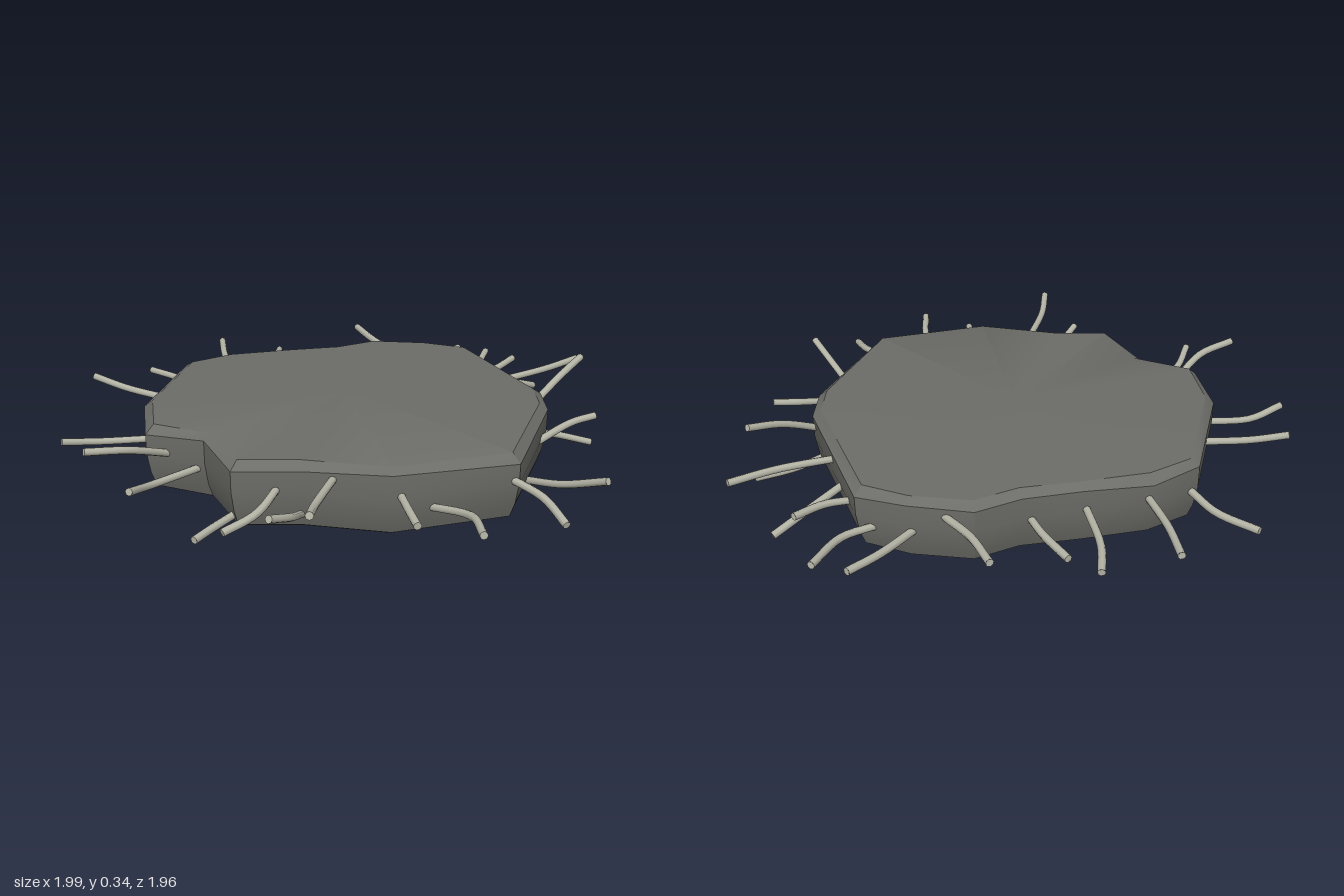
import * as THREE from 'three';
import { mergeGeometries, toCreasedNormals } from 'three/addons/utils/BufferGeometryUtils.js';

// Broken edge of the slab seen from above: [x, z]
const OUTLINE = [
  [0.02, -0.7], [0.25, -0.715], [0.44, -0.68], [0.75, -0.22], [0.78, -0.06],
  [0.695, 0.43], [0.29, 0.63], [-0.02, 0.625], [-0.25, 0.665], [-0.4, 0.46],
  [-0.63, 0.41], [-0.715, 0.17], [-0.69, -0.29], [-0.545, -0.42], [-0.315, -0.52], [-0.12, -0.595],
];

// Side profile from bottom to top: [inset, y]
const PROFILE = [[0.07, 0.012], [0.03, 0.035], [0.012, 0.09], [0, 0.17], [0, 0.25], [0.032, 0.276]];

// Reinforcing bars, each root, middle, tip: x, y, z
const BARS = [
  [-0.67, 0.16, -0.31, -0.76, 0.15, -0.405, -0.91, 0.15, -0.485],
  [-0.53, 0.19, -0.425, -0.61, 0.2, -0.59, -0.665, 0.21, -0.75],
  [-0.33, 0.18, -0.52, -0.4, 0.17, -0.69, -0.42, 0.16, -0.82],
  [-0.145, 0.16, -0.575, -0.2, 0.16, -0.655, -0.305, 0.16, -0.77],
  [0.11, 0.22, -0.71, 0.005, 0.235, -0.815, -0.085, 0.245, -0.945],
  [0.235, 0.15, -0.71, 0.3, 0.155, -0.85, 0.375, 0.165, -0.975],
  [0.38, 0.13, -0.68, 0.46, 0.14, -0.77, 0.5, 0.16, -0.96],
  [0.485, 0.17, -0.6, 0.555, 0.185, -0.66, 0.625, 0.2, -0.77],
  [0.54, 0.165, -0.5, 0.62, 0.14, -0.63, 0.72, 0.09, -0.745],
  [0.575, 0.22, -0.42, 0.76, 0.235, -0.555, 0.89, 0.245, -0.685],
  [0.715, 0.2, -0.21, 0.82, 0.285, -0.34, 0.9, 0.33, -0.46],
  [0.715, 0.085, -0.22, 0.81, 0.06, -0.285, 0.96, 0.02, -0.325],
  [0.75, 0.17, 0.055, 0.87, 0.21, -0.055, 0.955, 0.225, -0.1],
  [0.725, 0.09, 0.225, 0.84, 0.135, 0.335, 0.985, 0.215, 0.455],
];
const FRONT_BARS = [
  [0.66, 0.185, 0.42, 0.775, 0.165, 0.51, 0.855, 0.13, 0.63],
  [0.415, 0.12, 0.555, 0.55, 0.16, 0.675, 0.6, 0.18, 0.84],
  [0.31, 0.18, 0.6, 0.35, 0.175, 0.7, 0.39, 0.17, 0.795],
  [0.09, 0.225, 0.6, 0.07, 0.24, 0.85, 0.08, 0.27, 0.975],
  [-0.025, 0.09, 0.63, -0.03, 0.14, 0.75, -0.075, 0.185, 0.86],
  [-0.1, 0.18, 0.62, -0.14, 0.15, 0.765, -0.23, 0.12, 0.855],
  [-0.27, 0.06, 0.64, -0.31, 0.055, 0.72, -0.345, 0.05, 0.795],
  [-0.43, 0.145, 0.445, -0.545, 0.15, 0.615, -0.575, 0.185, 0.75],
  [-0.555, 0.19, 0.435, -0.64, 0.25, 0.565, -0.76, 0.275, 0.66],
  [-0.705, 0.14, 0.22, -0.86, 0.14, 0.27, -0.975, 0.165, 0.355],
  [-0.69, 0.205, -0.04, -0.86, 0.235, -0.045, -0.995, 0.275, -0.05],
];

// Moves every outline corner inward so that all edges shift by the same distance
function insetOutline(distance) {
  const n = OUTLINE.length;
  const normal = (a, b) => new THREE.Vector2(a[1] - b[1], b[0] - a[0]).normalize();
  return OUTLINE.map((p, i) => {
    const n1 = normal(OUTLINE[(i + n - 1) % n], p);
    const n2 = normal(p, OUTLINE[(i + 1) % n]);
    const miter = n1.clone().add(n2).multiplyScalar(distance / (1 + n1.dot(n2)));
    return [p[0] + miter.x, p[1] + miter.y];
  });
}

function slabGeometry() {
  const n = OUTLINE.length;
  const positions = [];
  const index = [];
  PROFILE.forEach(([inset, y], k) => {
    insetOutline(inset).forEach(([x, z], i) => {
      // the upper break line wavers a little
      const wave = k === 4 ? 0.008 * Math.sin(i * 2.3) : 0;
      positions.push(x, y + wave, z);
    });
  });
  const bottom = positions.length / 3;
  const top = bottom + 1;
  positions.push(0.02, 0, -0.02, 0.02, 0.295, -0.02);
  const last = (PROFILE.length - 1) * n;
  for (let i = 0; i < n; i++) {
    const j = (i + 1) % n;
    for (let k = 0; k < PROFILE.length - 1; k++) {
      const a = k * n + i, b = k * n + j;
      index.push(a, a + n, b, b, a + n, b + n);
    }
    index.push(bottom, i, j, top, last + j, last + i);
  }
  const geometry = new THREE.BufferGeometry();
  geometry.setAttribute('position', new THREE.Float32BufferAttribute(positions, 3));
  geometry.setIndex(index);
  return toCreasedNormals(geometry, 0.5);
}

// Bent round bar with a flat cut end; its root is buried in the slab
function barGeometry(v) {
  const [root, middle, tip] = [0, 3, 6].map((i) => new THREE.Vector3().fromArray(v, i));
  const buried = root.clone().add(root.clone().sub(middle).setLength(0.06));
  const curve = new THREE.CatmullRomCurve3([buried, root, middle, tip]);
  const radius = 0.014;
  const tube = new THREE.TubeGeometry(curve, 12, radius, 8);
  const cap = new THREE.CircleGeometry(radius, 8);
  cap.applyQuaternion(new THREE.Quaternion().setFromUnitVectors(new THREE.Vector3(0, 0, 1), curve.getTangent(1)));
  cap.translate(tip.x, tip.y, tip.z);
  return mergeGeometries([tube, cap]);
}

export function createModel() {
  const group = new THREE.Group();
  group.name = 'brokenSlab';

  const slab = new THREE.Mesh(slabGeometry(), new THREE.MeshStandardMaterial({ color: 0x6c6c68 }));
  slab.name = 'slab';
  group.add(slab);

  const bars = new THREE.Group();
  bars.name = 'reinforcingBars';
  const steel = new THREE.MeshStandardMaterial({ color: 0xb4b4a6 });
  for (const points of [...BARS, ...FRONT_BARS]) {
    const bar = new THREE.Mesh(barGeometry(points), steel);
    bar.name = 'bar';
    bars.add(bar);
  }
  group.add(bars);
  return group;
}
